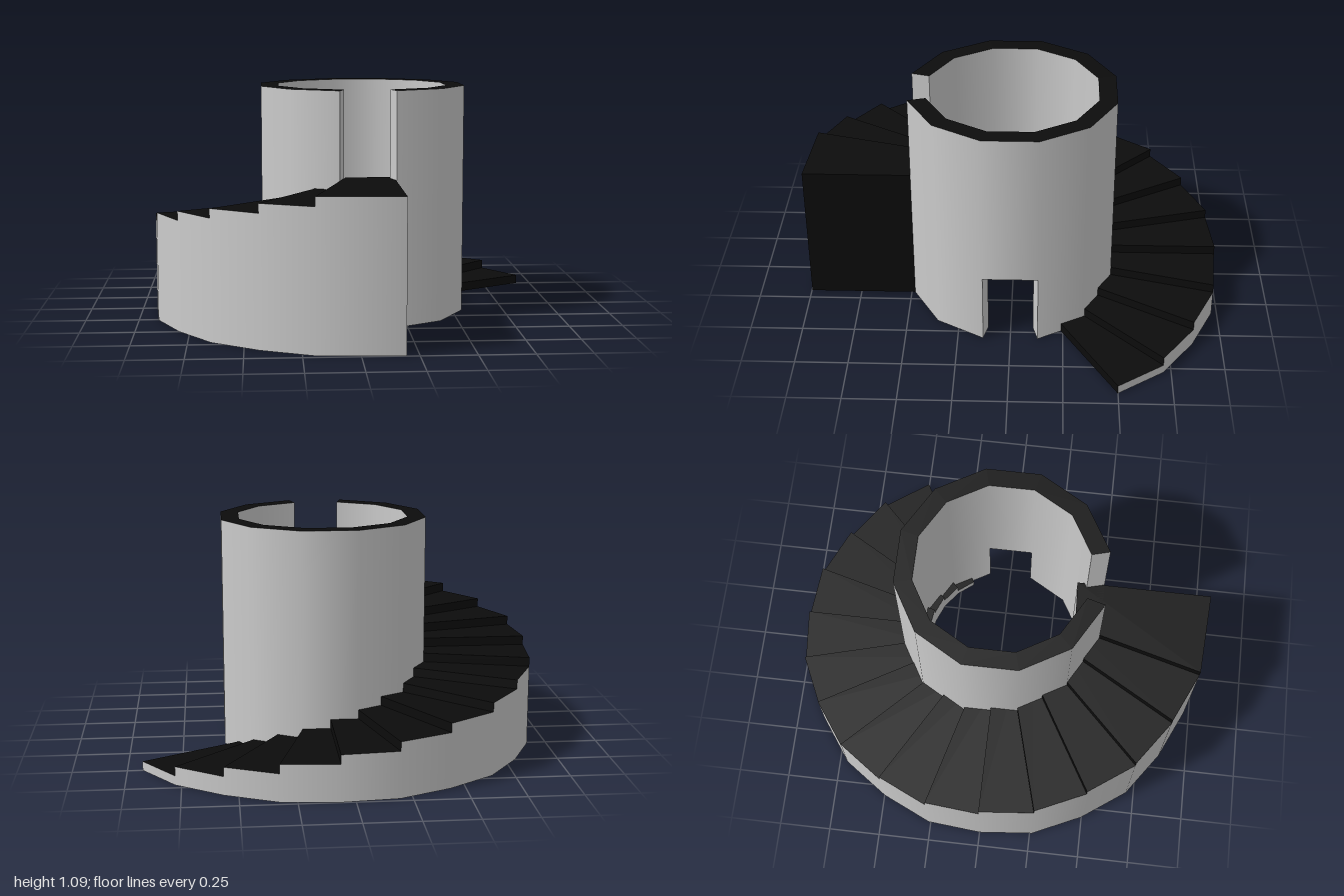
import * as THREE from 'three';

const CX = 0.066;            // tower axis
const STEP = 0.0428, STEPS = 15, LANDING = STEP * 16;
const TOP = 1.093, DOOR = 0.345;
const R_OUT = 0.5, R_IN = 0.413, STAIR_IN = 0.375;

// Point on the plan at an angle in degrees, x towards z
function polar(deg, r) {
  const a = THREE.MathUtils.degToRad(deg);
  return [CX + r * Math.cos(a), r * Math.sin(a)];
}

// Collects quads; round = 1 or -1 gives smooth normals away from or towards the axis
class Surface {
  constructor() { this.pos = []; this.nor = []; }
  quad(corners, round = 0) {
    const v = corners.map(([p, y]) => new THREE.Vector3(p[0], y, p[1]));
    const flat = v[1].clone().sub(v[0]).cross(v[2].clone().sub(v[0])).normalize();
    for (const i of [0, 1, 2, 0, 2, 3]) {
      const n = round ? new THREE.Vector3(v[i].x - CX, 0, v[i].z).normalize().multiplyScalar(round) : flat;
      this.pos.push(v[i].x, v[i].y, v[i].z);
      this.nor.push(n.x, n.y, n.z);
    }
  }
  mesh(name, color) {
    const g = new THREE.BufferGeometry();
    g.setAttribute('position', new THREE.Float32BufferAttribute(this.pos, 3));
    g.setAttribute('normal', new THREE.Float32BufferAttribute(this.nor, 3));
    const m = new THREE.Mesh(g, new THREE.MeshStandardMaterial({ color }));
    m.name = name;
    return m;
  }
}

// Curved walls and flat caps of one block; i/o = inner/outer corner, 0/1 = low/high angle
function block(walls, caps, { i0, o0, i1, o1 }, y0, y1) {
  walls.quad([[o1, y0], [o0, y0], [o0, y1], [o1, y1]], 1);
  walls.quad([[i0, y0], [i1, y0], [i1, y1], [i0, y1]], -1);
  caps.quad([[i0, y1], [i1, y1], [o1, y1], [o0, y1]]);
  caps.quad([[o0, y0], [o1, y0], [i1, y0], [i0, y0]]);
}
const endHigh = (s, { i1, o1 }, y0, y1) => s.quad([[i1, y0], [o1, y0], [o1, y1], [i1, y1]]);
const endLow = (s, { i0, o0 }, y0, y1) => s.quad([[o0, y0], [i0, y0], [i0, y1], [o0, y1]]);

function sector(a0, a1, rIn, rOut0, rOut1 = rOut0) {
  return { i0: polar(a0, rIn), o0: polar(a0, rOut0), i1: polar(a1, rIn), o1: polar(a1, rOut1) };
}

function buildTower() {
  const walls = new Surface(), caps = new Surface();
  for (let k = 0; k < 12; k++) {
    const a = -15 + 30 * k;
    const s = sector(a, a + 30, R_IN, R_OUT);
    // Facet 0 has the lower doorway, facet 3 the open gap above the landing
    block(walls, caps, s, k === 0 ? DOOR : 0, k === 3 ? LANDING : TOP);
    // Door jambs belong to the facets beside each opening
    if (k === 11) endHigh(walls, s, 0, DOOR);
    if (k === 1) endLow(walls, s, 0, DOOR);
    if (k === 2) endHigh(walls, s, LANDING, TOP);
    if (k === 4) endLow(walls, s, LANDING, TOP);
  }
  const g = new THREE.Group();
  g.name = 'tower';
  g.add(walls.mesh('towerWall', 0xcccccc), caps.mesh('towerRim', 0x0c0c0c));
  return g;
}

function buildStairs() {
  const walls = new Surface(), caps = new Surface();
  const radius = (deg) => (deg % 30 === 0 ? 0.998 : 1.008);
  // Solid wedge steps winding up around the tower
  for (let i = 0; i < STEPS; i++) {
    const hi = 330 - 15 * i, lo = hi - 15;
    const s = sector(lo, hi, STAIR_IN, radius(lo), radius(hi));
    block(walls, caps, s, 0, STEP * (i + 1));
    endHigh(caps, s, STEP * i, STEP * (i + 1));
  }
  // Landing in front of the upper opening, cut off square at its end
  const landing = {
    i0: [0.193, 0.353], o0: [0.193, 0.998],
    i1: polar(105, STAIR_IN), o1: polar(105, radius(105)),
  };
  block(walls, caps, landing, 0, LANDING);
  endHigh(caps, landing, STEP * STEPS, LANDING);
  endLow(caps, landing, 0, LANDING);
  const g = new THREE.Group();
  g.name = 'spiralStairs';
  g.add(walls.mesh('stairWall', 0xcccccc), caps.mesh('stairTreads', 0x0c0c0c));
  return g;
}

export function createModel() {
  const model = new THREE.Group();
  model.name = 'spiralStairTower';
  model.add(buildTower(), buildStairs());
  return model;
}
